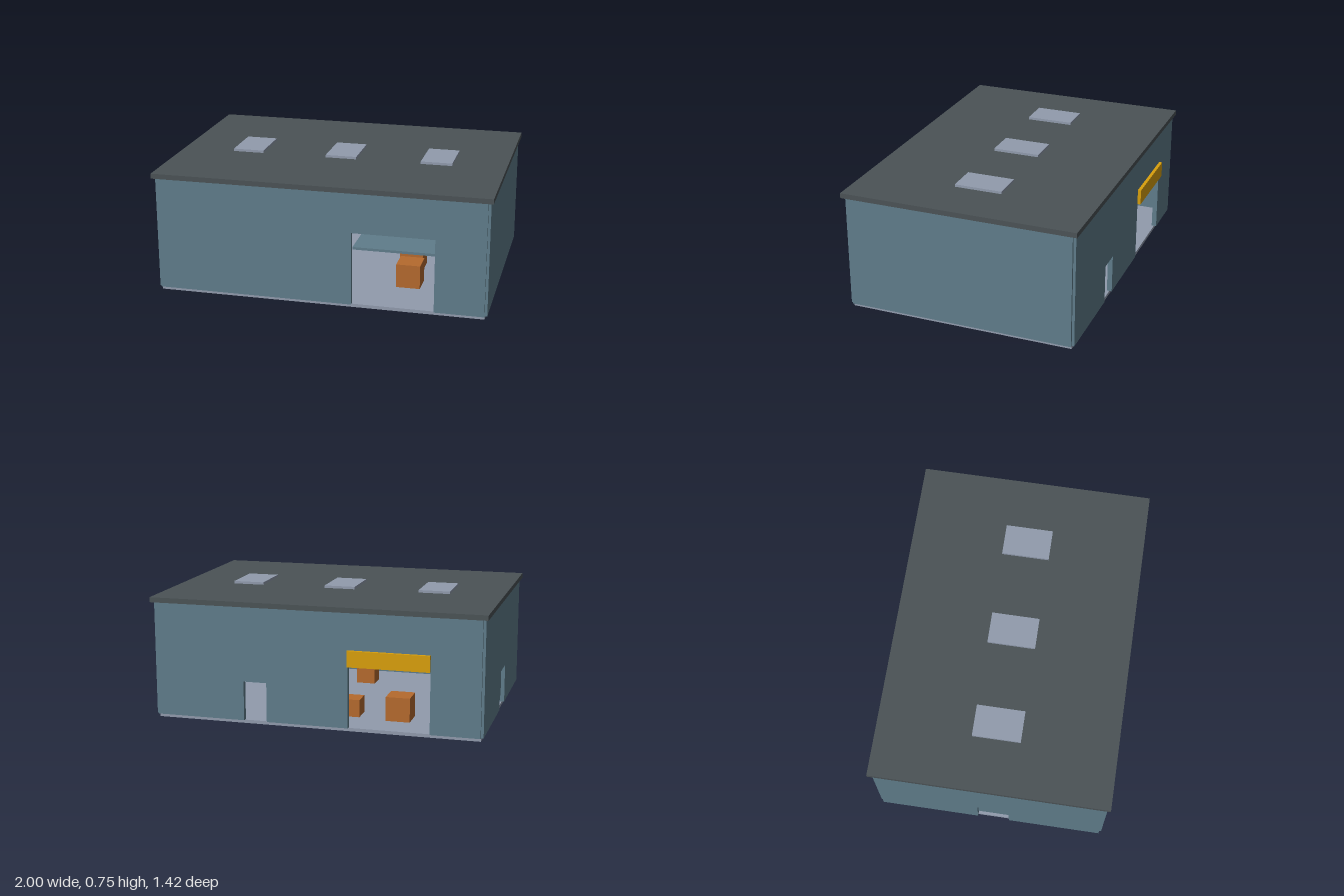
import * as THREE from 'three';

const mat = (name, color) => {
  const m = new THREE.MeshStandardMaterial({ color });
  m.name = name;
  return m;
};

export function createModel() {
  const model = new THREE.Group();
  model.name = 'warehouse';
  const wallPaint = mat('blue grey cladding', 0x607d8b);
  const roofing = mat('dark roofing', 0x4b5356);
  const concrete = mat('pale grey', 0x919bad);
  const yellow = mat('yellow shutter', 0xd9a00c);
  const crateWood = mat('brown crate', 0xb56a2e);

  // box from its minimum and maximum corners
  const box = (name, material, [x0, y0, z0], [x1, y1, z1], parent = model) => {
    const mesh = new THREE.Mesh(new THREE.BoxGeometry(x1 - x0, y1 - y0, z1 - z0), material);
    mesh.position.set((x0 + x1) / 2, (y0 + y1) / 2, (z0 + z1) / 2);
    mesh.name = name;
    parent.add(mesh);
    return mesh;
  };

  // building shell, shifted slightly forward to balance the rear shutter
  const shell = new THREE.Group();
  shell.name = 'shell';
  shell.position.z = 0.003;
  model.add(shell);

  const floorY = 0.02, eaveY = 0.7, thick = 0.03;
  box('floorSlab', concrete, [-0.97, 0, -0.678], [0.97, floorY, 0.678], shell);
  box('roof', roofing, [-1, eaveY, -0.707], [1, 0.73, 0.707], shell);
  for (const x of [-0.585, 0, 0.585]) {
    box('skylight', concrete, [x - 0.095, 0.725, -0.145], [x + 0.095, 0.745, 0.142], shell);
  }

  // wall with door openings [left, right, top], listed from left to right
  const wall = (name, half, outer, angle, openings = []) => {
    const s = new THREE.Shape();
    s.moveTo(-half, floorY);
    for (const [a, b, top] of openings) {
      s.lineTo(a, floorY);
      s.lineTo(a, top);
      s.lineTo(b, top);
      s.lineTo(b, floorY);
    }
    s.lineTo(half, floorY);
    s.lineTo(half, eaveY);
    s.lineTo(-half, eaveY);
    s.closePath();
    const geo = new THREE.ExtrudeGeometry(s, { depth: thick, bevelEnabled: false });
    geo.translate(0, 0, outer - thick);
    const mesh = new THREE.Mesh(geo, wallPaint);
    mesh.rotation.y = angle;
    mesh.name = name;
    shell.add(mesh);
  };
  wall('frontWall', 0.97, 0.693, 0, [[0.195, 0.68, 0.46]]);
  wall('backWall', 0.97, 0.693, Math.PI, [[-0.43, -0.29, 0.255], [0.2, 0.68, 0.46]]);
  wall('leftWall', 0.678, 0.985, Math.PI / 2);
  wall('rightWall', 0.678, 0.985, -Math.PI / 2, [[-0.078, 0.115, 0.255]]);

  // doors: raised overhead door, rear shutter, nearly closed side shutter
  box('overheadDoor', wallPaint, [0.197, 0.35, 0.24], [0.68, 0.365, 0.665]);
  box('rearShutter', yellow, [-0.68, 0.387, -0.71], [-0.198, 0.482, -0.69]);
  box('sideShutter', wallPaint, [-0.962, 0.06, -0.09], [-0.947, 0.27, 0.133]);

  // crates on the floor: minimum x, minimum z, size, height
  const crates = [
    [0.395, 0.228, 0.145, 0.145],
    [0.36, -0.07, 0.145, 0.145],
    [-0.105, 0.328, 0.12, 0.1],
    [-0.207, -0.452, 0.12, 0.105],
    [-0.519, -0.482, 0.145, 0.145],
  ];
  for (const [x, z, s, h] of crates) {
    box('crate', crateWood, [x, floorY, z], [x + s, floorY + h, z + s]);
  }
  return model;
}
